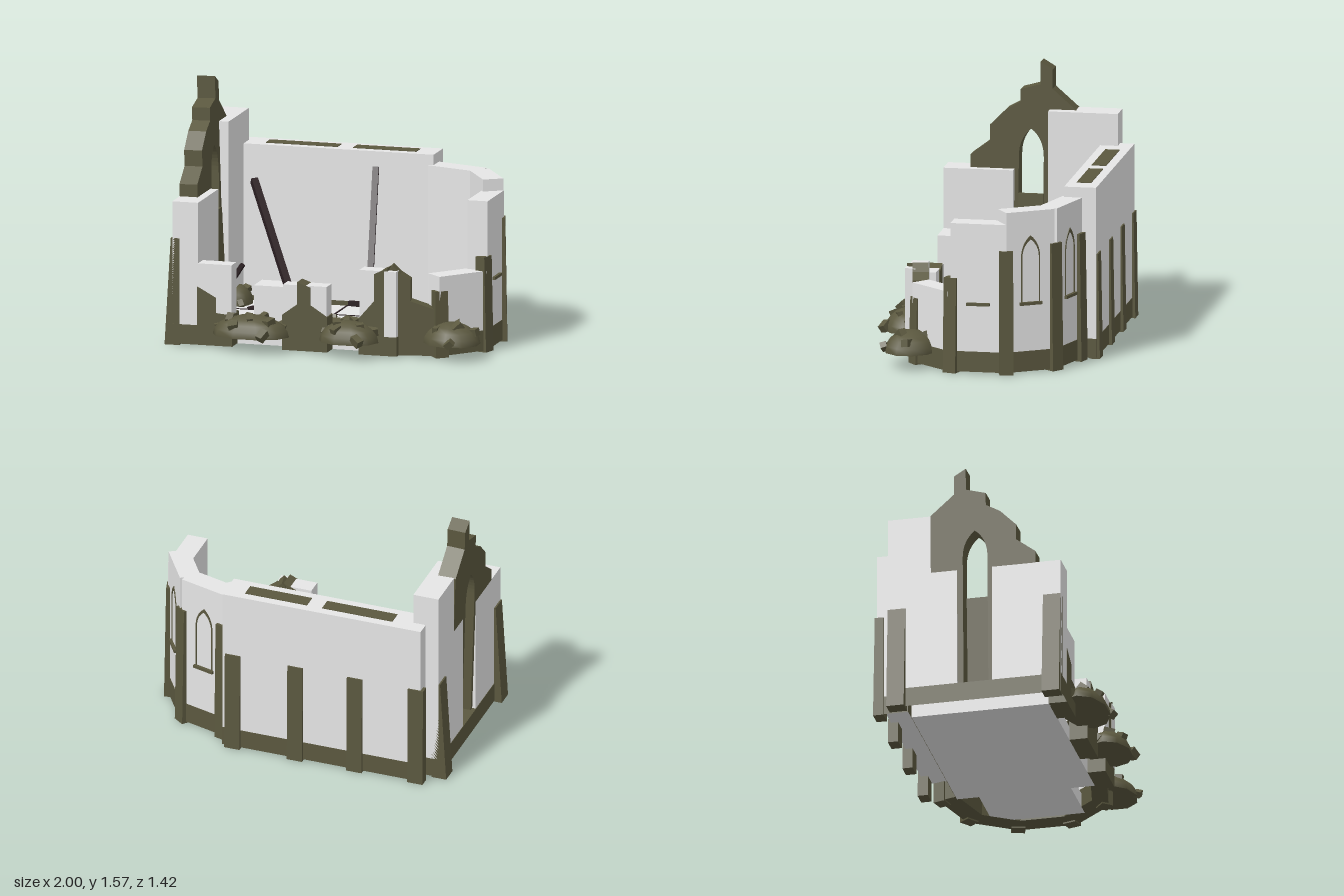
import * as THREE from 'three';

const mat = (name, color) => {
  const m = new THREE.MeshStandardMaterial({ color });
  m.name = name;
  return m;
};

export function createModel() {
  const root = new THREE.Group();
  root.name = 'ruinedChapel';
  const plaster = mat('pale plaster', 0xe6e6e6);
  const stone = mat('olive stone', 0x5b583f);
  const timber = mat('charred timber', 0x2b1f22);
  let seed = 7;
  const rnd = () => (seed = (seed * 16807) % 2147483647) / 2147483647;

  const add = (name, geo, material, parent = root) => {
    const m = new THREE.Mesh(geo, material);
    m.name = name;
    parent.add(m);
    return m;
  };
  // box given by its limits
  const block = (name, x0, x1, y0, y1, z0, z1, material, parent) => {
    const m = add(name, new THREE.BoxGeometry(x1 - x0, y1 - y0, z1 - z0), material, parent);
    m.position.set((x0 + x1) / 2, (y0 + y1) / 2, (z0 + z1) / 2);
    return m;
  };
  // plinth box that is open underneath
  const openPlinth = (...limits) => {
    const g = block(...limits, stone).geometry;
    g.setIndex([...g.index.array].filter((v, i) => i < 18 || i > 23));
    g.clearGroups();
  };
  const poly = (pts) => new THREE.Shape(pts.map((p) => new THREE.Vector2(p[0], p[1])));
  const slab = (name, shape, depth, z, material, parent) => {
    const g = new THREE.ExtrudeGeometry(shape, { depth, bevelEnabled: false, curveSegments: 8 });
    const m = add(name, g, material, parent);
    m.position.z = z;
    return m;
  };
  // pointed arch outline
  const lancet = (S, c, w, y0, spring, apex) => {
    const s = new S();
    s.moveTo(c - w, y0);
    s.lineTo(c + w, y0);
    s.lineTo(c + w, spring);
    s.quadraticCurveTo(c + w, spring + (apex - spring) * 0.65, c, apex);
    s.quadraticCurveTo(c - w, spring + (apex - spring) * 0.65, c - w, spring);
    s.lineTo(c - w, y0);
    return s;
  };
  // buttress with its outer face leaning in; angle 0 faces -z
  const buttress = (x, z, angle, h, w, dBase, dTop) => {
    const g = new THREE.BoxGeometry(w, h, dBase + 0.04);
    g.translate(0, h / 2, 0.02 - dBase / 2);
    const p = g.attributes.position;
    for (let i = 0; i < p.count; i++)
      if (p.getY(i) > h / 2 && p.getZ(i) < 0) p.setZ(i, -dTop);
    g.computeVertexNormals();
    const m = add('buttress', g, stone);
    m.position.set(x, 0, z);
    m.rotation.y = angle;
  };

  // north wall
  block('northWall', -0.866, 0.433, 0.13, 1.08, -0.7, -0.5, plaster);
  openPlinth('northPlinth', -0.868, 0.435, 0.01, 0.13, -0.702, -0.502);
  block('wallTopCore', -0.66, -0.2, 1.077, 1.084, -0.645, -0.555, stone);
  block('wallTopCore', -0.1, 0.305, 1.077, 1.084, -0.645, -0.555, stone);
  for (const x of [-0.835, -0.435, -0.045, 0.365]) buttress(x, -0.695, 0, 0.66, 0.1, 0.025, 0.014);

  // west front: two piers and the leaning gable
  block('tallWestPier', -0.95, -0.785, 0.13, 1.28, -0.61, -0.175, plaster);
  block('lowWestPier', -0.95, -0.785, 0.13, 0.9, 0.045, 0.48, plaster);
  openPlinth('westPlinth', -0.953, -0.785, 0.01, 0.132, -0.612, 0.482);
  for (const z of [-0.555, 0.425]) buttress(-0.945, z, Math.PI / 2, 0.67, 0.11, 0.055, 0.015);
  const gable = new THREE.Group();
  gable.name = 'gable';
  gable.position.x = -0.808;
  gable.rotation.z = 0.03;
  root.add(gable);
  const gs = poly([[-0.34, 0.1], [0.32, 0.1], [0.32, 0.98], [0.2, 1.07], [0.2, 1.17], [0.1, 1.27], [0.01, 1.32],
    [0.01, 1.4], [-0.115, 1.435], [-0.115, 1.575], [-0.19, 1.53], [-0.19, 1.41], [-0.34, 1.28]]);
  gs.holes.push(lancet(THREE.Path, -0.06, 0.078, 0.13, 0.98, 1.155));
  slab('gableWall', gs, 0.115, 0, stone, gable).rotation.y = -Math.PI / 2;
  const door = block('leaningDoor', -0.83, -0.8, 0.1, 0.75, -0.138, 0.016, stone);
  door.rotation.z = 0.05;

  // south wall: broken plaster blocks wrapped by jagged stone
  block('southBlock', -0.785, -0.57, 0.02, 0.52, 0.375, 0.478, plaster);
  block('southBlock', -0.24, 0.04, 0.02, 0.42, 0.375, 0.478, plaster);
  block('southBlock', 0.25, 0.41, 0.02, 0.54, 0.375, 0.478, plaster);
  block('southBlock', 0.41, 0.487, 0.13, 0.54, 0.42, 0.486, plaster);
  [
    [[-0.79, 0.01], [-0.565, 0.01], [-0.565, 0.205], [-0.67, 0.215], [-0.67, 0.31], [-0.79, 0.375]],
    [[-0.245, 0.01], [0.045, 0.01], [0.045, 0.23], [-0.065, 0.3], [-0.065, 0.41], [-0.15, 0.44], [-0.15, 0.3], [-0.245, 0.23]],
    [[0.245, 0.01], [0.49, 0.01], [0.49, 0.13], [0.43, 0.13], [0.43, 0.56], [0.345, 0.52], [0.345, 0.35], [0.245, 0.235]],
  ].forEach((pts) => slab('jaggedSouthWall', poly(pts), 0.116, 0.367, stone));
  const tail = new THREE.Group();
  tail.name = 'brokenChoirWall';
  tail.position.set(0.42, 0, 0.38);
  tail.rotation.y = 0.2;
  root.add(tail);
  slab('jaggedChoirWall', poly([[0, 0.01], [0.31, 0.01], [0.31, 0.29], [0.13, 0.35], [0.13, 0.48], [0.07, 0.52],
    [0.02, 0.57], [0, 0.55]]), 0.1, -0.03, stone, tail);

  // apse walls: ends, height, window kind
  const T = 0.13;
  [
    [0.42, -0.55, 0.75, -0.455, 1.015, 2],
    [0.73, -0.47, 0.905, -0.2, 1.015, 2],
    [0.898, -0.235, 0.898, 0.113, 0.94, 1],
    [0.915, 0.09, 0.69, 0.35, 0.508, 0],
  ].forEach(([x0, z0, x1, z1, h, win]) => {
    const L = Math.hypot(x1 - x0, z1 - z0);
    const seg = new THREE.Group();
    seg.name = 'apseSegment';
    seg.position.set((x0 + x1) / 2, 0, (z0 + z1) / 2);
    seg.rotation.y = Math.atan2(z0 - z1, x1 - x0);
    root.add(seg);
    block('apseWall', -L / 2, L / 2, 0.13, h, -T / 2, T / 2, plaster, seg);
    block('apsePlinth', -L / 2 - 0.003, L / 2 + 0.003, 0.01, 0.137, -T / 2 - 0.003, T / 2, stone, seg);
    if (win) block('windowSill', -0.072, 0.072, 0.427, 0.445, -T / 2 - 0.018, -T / 2, stone, seg);
    if (win === 2) {
      const frame = lancet(THREE.Shape, 0, 0.063, 0.44, 0.72, 0.862);
      frame.holes.push(lancet(THREE.Path, 0, 0.056, 0.446, 0.72, 0.838));
      slab('windowFrame', frame, 0.006, -T / 2 - 0.005, stone, seg);
    }
  });
  [
    [0.465, -0.602, -0.28, 0.8], [0.765, -0.5, -0.65, 0.8], [0.95, -0.232, -1.3, 0.775],
    [0.945, 0.11, -1.85, 0.595], [0.735, 0.365, -2.45, 0.415],
  ].forEach(([x, z, a, h]) => buttress(x, z, a, h, 0.085, 0.035, 0.022));

  // floors
  block('naveFloor', -0.785, 0.44, 0.01, 0.1, -0.5, 0.37, plaster);
  block('choirFloor', 0.44, 0.81, 0.01, 0.1, -0.36, 0.22, plaster);
  const ground = add('choirGround', new THREE.ShapeGeometry(poly([[0.43, 0.5], [0.43, -0.38], [0.7, -0.32],
    [0.87, -0.1], [0.87, 0.24], [0.74, 0.46]])), stone);
  ground.rotation.x = -Math.PI / 2;
  ground.position.y = 0.09;
  for (const x of [-0.513, -0.12, 0.278]) block('floorJoint', x - 0.005, x + 0.005, 0.098, 0.104, -0.5, 0.37, timber);
  for (const z of [-0.212, 0.083]) block('floorJoint', -0.785, 0.565, 0.098, 0.104, z - 0.0045, z + 0.0045, timber);
  block('altar', 0.58, 0.735, 0.1, 0.33, -0.19, 0.057, plaster);
  block('altarMark', 0.652, 0.668, 0.328, 0.336, -0.075, -0.028, stone);
  block('fallenBlock', -0.53, -0.34, 0.1, 0.33, -0.04, 0.135, plaster);

  // scorched patches
  [[-0.6, -0.27, 0.1], [0.19, -0.235, 0.12], [-0.24, 0.215, 0.15], [0.31, 0.235, 0.125]].forEach(([x, z, r]) => {
    const pts = [];
    for (let i = 0; i < 7; i++) {
      const a = (i / 7) * Math.PI * 2, q = r * (0.66 + 0.4 * rnd());
      pts.push([q * Math.cos(a), q * 0.8 * Math.sin(a)]);
    }
    const m = slab('scorchedPatch', poly(pts), 0.009, 0, timber);
    m.rotation.x = -Math.PI / 2;
    m.position.set(x, 0.101, z);
  });

  // fallen roof beams
  const beam = (a, b, w = 0.042) => {
    const p = new THREE.Vector3(...a), q = new THREE.Vector3(...b);
    const m = add('roofBeam', new THREE.BoxGeometry(w, w, p.distanceTo(q)), timber);
    m.position.copy(p).add(q).multiplyScalar(0.5);
    m.lookAt(q);
  };
  beam([-0.715, 0.855, -0.49], [-0.21, 0.2, 0.28]);
  beam([0.065, 0.98, -0.49], [0.17, 0.16, 0.02], 0.038);
  beam([-0.09, 0.13, -0.44], [0.36, 0.13, -0.35], 0.03);
  beam([-0.77, 0.15, 0.3], [-0.54, 0.5, 0.34], 0.027);
  beam([0.3, 0.13, 0.3], [0.62, 0.15, 0.12], 0.03);
  beam([-0.56, 0.12, -0.045], [-0.52, 0.12, -0.02], 0.03);

  // rubble mounds with half-buried stones: x, z, radii, height, turn, stones
  [
    [-0.435, 0.515, 0.245, 0.15, 0.13, 0, 9], [0.195, 0.52, 0.19, 0.142, 0.13, 0, 7],
    [0.815, 0.385, 0.185, 0.16, 0.13, -0.35, 6], [-0.05, 0.295, 0.125, 0.07, 0.12, 0, 4],
    [-0.78, -0.39, 0.085, 0.115, 0.12, 0, 3],
  ].forEach(([x, z, rx, rz, h, turn, n]) => {
    const heap = new THREE.Group();
    heap.name = 'rubbleHeap';
    heap.position.set(x, 0.097, z);
    heap.rotation.y = turn;
    root.add(heap);
    add('mound', new THREE.SphereGeometry(1, 10, 5, 0, Math.PI * 2, 0, Math.PI / 2), stone, heap).scale.set(rx, h, rz);
    const base = add('moundBase', new THREE.CircleGeometry(1, 10), stone, heap);
    base.rotation.x = Math.PI / 2;
    base.scale.set(rx, rz, 1);
    for (let i = 0; i < n; i++) {
      const a = i * 2.4 + 1.1, k = 1 - 0.7 * (i / n), s = 0.032 + 0.018 * rnd();
      const b = add('looseStone', new THREE.BoxGeometry(s * 1.4, s, s), stone, heap);
      b.position.set(rx * k * Math.cos(a), Math.max(h * Math.sqrt(1 - k * k) - s * 0.2, s * 0.6), rz * k * Math.sin(a));
      b.rotation.set(rnd() * 0.6, rnd() * 3, rnd() * 0.6);
    }
  });
  [[-0.67, 0.17, -0.25], [0.09, 0.13, 1.2]].forEach(([x, z, a]) => {
    const b = block('fallenStone', x - 0.032, x + 0.032, 0.1, 0.16, z - 0.052, z + 0.052, stone);
    b.rotation.set(0.1, a, 0.1);
  });
  return root;
}
